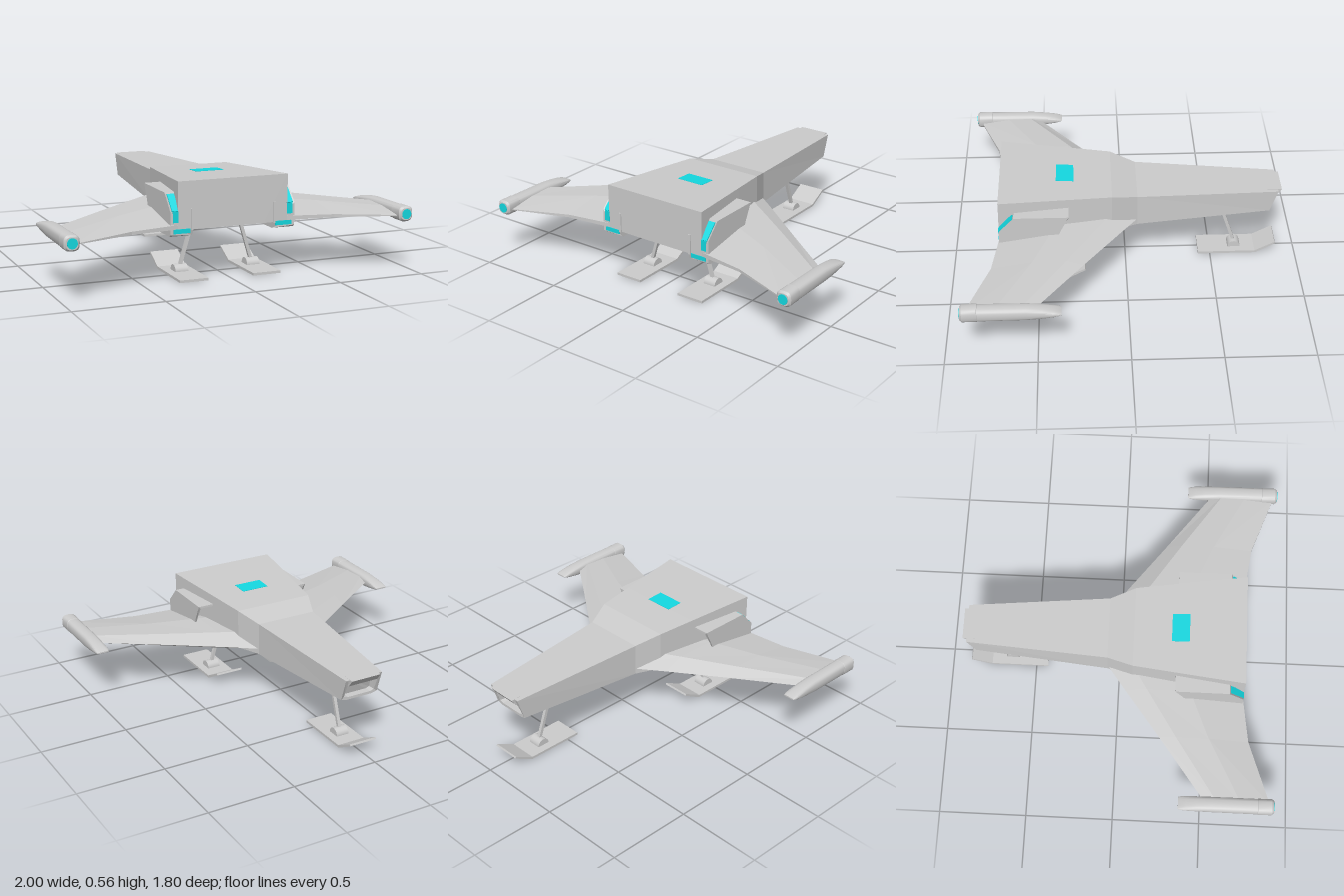
import * as THREE from 'three';
import { toCreasedNormals } from 'three/addons/utils/BufferGeometryUtils.js';

const grey = new THREE.MeshStandardMaterial({ color: 0xcccccc, flatShading: true });
const smooth = new THREE.MeshStandardMaterial({ color: 0xcccccc });
const cyan = new THREE.MeshStandardMaterial({ color: 0x14d8e0 });

// Skin a row of cross-sections, cap both ends and keep the faces outward
function loft(rings) {
  const tris = [], n = rings[0].length;
  for (let i = 0; i < rings.length - 1; i++) {
    for (let j = 0; j < n; j++) {
      const k = (j + 1) % n, a = rings[i], b = rings[i + 1];
      tris.push([a[j], a[k], b[k]], [a[j], b[k], b[j]]);
    }
  }
  const first = rings[0], last = rings[rings.length - 1];
  for (let j = 1; j < n - 1; j++) {
    tris.push([first[0], first[j + 1], first[j]], [last[0], last[j], last[j + 1]]);
  }
  const v = (p) => new THREE.Vector3(...p);
  const volume = tris.reduce((s, [a, b, c]) => s + v(a).dot(v(b).cross(v(c))), 0);
  if (volume < 0) tris.forEach((t) => t.reverse());
  const geo = new THREE.BufferGeometry();
  geo.setAttribute('position', new THREE.Float32BufferAttribute(tris.flat(2), 3));
  geo.computeVertexNormals();
  return geo;
}

function add(parent, name, geo, mat = grey) {
  const mesh = new THREE.Mesh(geo, mat);
  mesh.name = name;
  parent.add(mesh);
  return mesh;
}

function box(parent, name, [w, h, d], [x, y, z], mat = grey) {
  const mesh = add(parent, name, new THREE.BoxGeometry(w, h, d), mat);
  mesh.position.set(x, y, z);
  return mesh;
}

// Square bar between two points
function bar(parent, name, from, to, size) {
  const a = new THREE.Vector3(...from), b = new THREE.Vector3(...to);
  const mesh = add(parent, name, new THREE.BoxGeometry(size, a.distanceTo(b), size));
  mesh.position.copy(a).lerp(b, 0.5);
  mesh.quaternion.setFromUnitVectors(new THREE.Vector3(0, 1, 0), b.sub(a).normalize());
  return mesh;
}

// Extrude a side outline given as [z, y] across the width
function sidePrism(outline, width) {
  const shape = new THREE.Shape(outline.map(([z, y]) => new THREE.Vector2(-z, y)));
  const geo = new THREE.ExtrudeGeometry(shape, { depth: width, bevelEnabled: false });
  return geo.translate(0, 0, -width / 2).rotateY(Math.PI / 2);
}

// Box-like engine with a hollow intake; rows are [y, rear z, front z] from the bottom up
function engine(s, x0, x1, rows, depth) {
  const yLo = rows[0][0], yHi = rows[rows.length - 1][0], wall = 0.012;
  const ring = (col, dz, inset) => {
    const side = (x) => rows.map((r) => [
      s * x, Math.min(Math.max(r[0], yLo + inset), yHi - inset), r[col] + dz]);
    return [...side(x0 + inset), ...side(x1 - inset).reverse()];
  };
  return loft([ring(1, 0, 0), ring(2, 0, 0), ring(2, 0, wall), ring(2, depth, wall)]);
}

function skid(x, z, topX, topY, topZ) {
  const gear = new THREE.Group();
  gear.name = 'landingGear';
  const plate = add(gear, 'skid', sidePrism(
    [[0.215, 0.004], [-0.125, 0.004], [-0.24, 0.068], [-0.235, 0.078], [-0.12, 0.018], [0.215, 0.018]], 0.165));
  plate.position.set(x, 0, z);
  const ankle = add(gear, 'ankle',
    new THREE.CylinderGeometry(0.037, 0.037, 0.075, 16, 1, false, 0, Math.PI), smooth);
  ankle.rotation.z = Math.PI / 2;
  ankle.position.set(x, 0.018, z);
  bar(gear, 'strut', [x, 0.04, z], [topX, topY, topZ], 0.018);
  return gear;
}

export function createModel() {
  const model = new THREE.Group();
  model.name = 'spaceFighter';

  // Fuselage: [z, shift of the lower points, half width, top, keel half width, keel shoulder, keel]
  const hull = [
    [0.715, 0, 0.32, 0.56, 0.18, 0.3, 0.298],
    [0.3, 0, 0.265, 0.541, 0.14, 0.3, 0.27],
    [0.08, 0, 0.235, 0.53, 0.13, 0.3, 0.276],
    [-0.065, 0, 0.18, 0.49, 0.11, 0.303, 0.283],
    [-0.875, 0.045, 0.113, 0.46, 0.08, 0.33, 0.322],
    [-0.872, 0.042, 0.095, 0.447, 0.07, 0.345, 0.337], // nose rim
    [-0.82, 0.03, 0.09, 0.447, 0.07, 0.345, 0.337], // nose recess
  ].map(([z, dz, w, top, kw, mid, keel]) => {
    const half = [[w, top, z], [w, mid, z + dz], [kw, keel, z + dz]];
    return [...half, ...half.map(([x, y, q]) => [-x, y, q]).reverse()];
  });
  add(model, 'fuselage', loft(hull));
  add(model, 'noseLip', sidePrism([[-0.77, 0.42], [-0.865, 0.42], [-0.897, 0.461], [-0.77, 0.463]], 0.18));

  // Roof light follows the slope of the roof
  const light = box(model, 'roofLight', [0.165, 0.008, 0.1], [0, 0.541, 0.345], cyan);
  light.rotation.x = -0.047;

  for (const s of [1, -1]) {
    const side = new THREE.Group();
    side.name = s > 0 ? 'leftSide' : 'rightSide';
    model.add(side);

    // Wing: [x, leading z, trailing z, edge height, top, bottom]
    const wing = [
      [0.12, -0.105, 0.7, 0.335, 0.392, 0.3],
      [0.32, 0.045, 0.715, 0.335, 0.382, 0.3],
      [0.59, 0.25, 0.752, 0.33, 0.365, 0.303],
      [0.94, 0.51, 0.878, 0.322, 0.342, 0.306],
    ].map(([x, lead, trail, y, top, low]) => {
      const at = (t) => lead + (trail - lead) * t;
      return [[lead, y], [at(0.18), top], [at(0.55), top - 0.005], [trail, y - 0.008],
        [trail, low + 0.003], [at(0.5), low], [at(0.12), low]].map(([z, h]) => [s * x, h, z]);
    });
    add(side, 'wing', loft(wing));

    // Wingtip pod: [z, half width, half height]
    const pod = [
      [0.9, 0.033, 0.033], [0.888, 0.0425, 0.0425], [0.81, 0.0425, 0.0425], [0.808, 0.041, 0.04],
      [0.55, 0.041, 0.038], [0.47, 0.041, 0.03], [0.41, 0.041, 0.019], [0.38, 0.039, 0.01], [0.366, 0.034, 0.004],
    ].map(([z, w, h]) => Array.from({ length: 20 }, (_, i) => {
      const a = (i / 20) * Math.PI * 2, c = Math.cos(a), n = Math.sin(a);
      const soft = (q) => Math.sign(q) * Math.abs(q) ** 0.65;
      return [s * 0.9575 + w * soft(c), 0.322 + h * soft(n), z];
    }));
    add(side, 'wingtipPod', toCreasedNormals(loft(pod), 0.6), smooth);
    const glow = add(side, 'podLight', new THREE.CylinderGeometry(0.028, 0.028, 0.01, 20), cyan);
    glow.rotation.x = Math.PI / 2;
    glow.position.set(s * 0.9575, 0.322, 0.898);

    // Engines beside and below the fuselage
    add(side, 'upperEngine', engine(s, 0.25, 0.363, [[0.3, 0.715, 0.41], [0.4, 0.715, 0.37], [0.49, 0.63, 0.325]], 0.15));
    add(side, 'lowerEngine', engine(s, 0.235, 0.363, [[0.264, 0.7, 0.34], [0.275, 0.715, 0.335], [0.315, 0.715, 0.31]], 0.15));

    // Exhaust lights
    box(side, 'upperExhaust', [0.032, 0.06, 0.006], [s * 0.333, 0.37, 0.715], cyan);
    const slope = box(side, 'slopedExhaust', [0.04, 0.11, 0.006], [s * 0.333, 0.441, 0.676], cyan);
    slope.rotation.x = -Math.atan2(0.085, 0.09);
    box(side, 'lowerExhaust', [0.095, 0.024, 0.006], [s * 0.297, 0.292, 0.715], cyan);

    // Thin upright rib on the rear face
    box(side, 'rearRib', [0.014, 0.115, 0.012], [s * 0.24, 0.353, 0.716]);

    side.add(skid(s * 0.215, 0.475, s * 0.14, 0.29, 0.475));
  }

  const nose = skid(0, -0.645, 0, 0.34, -0.545);
  model.add(nose);
  return model;
}
